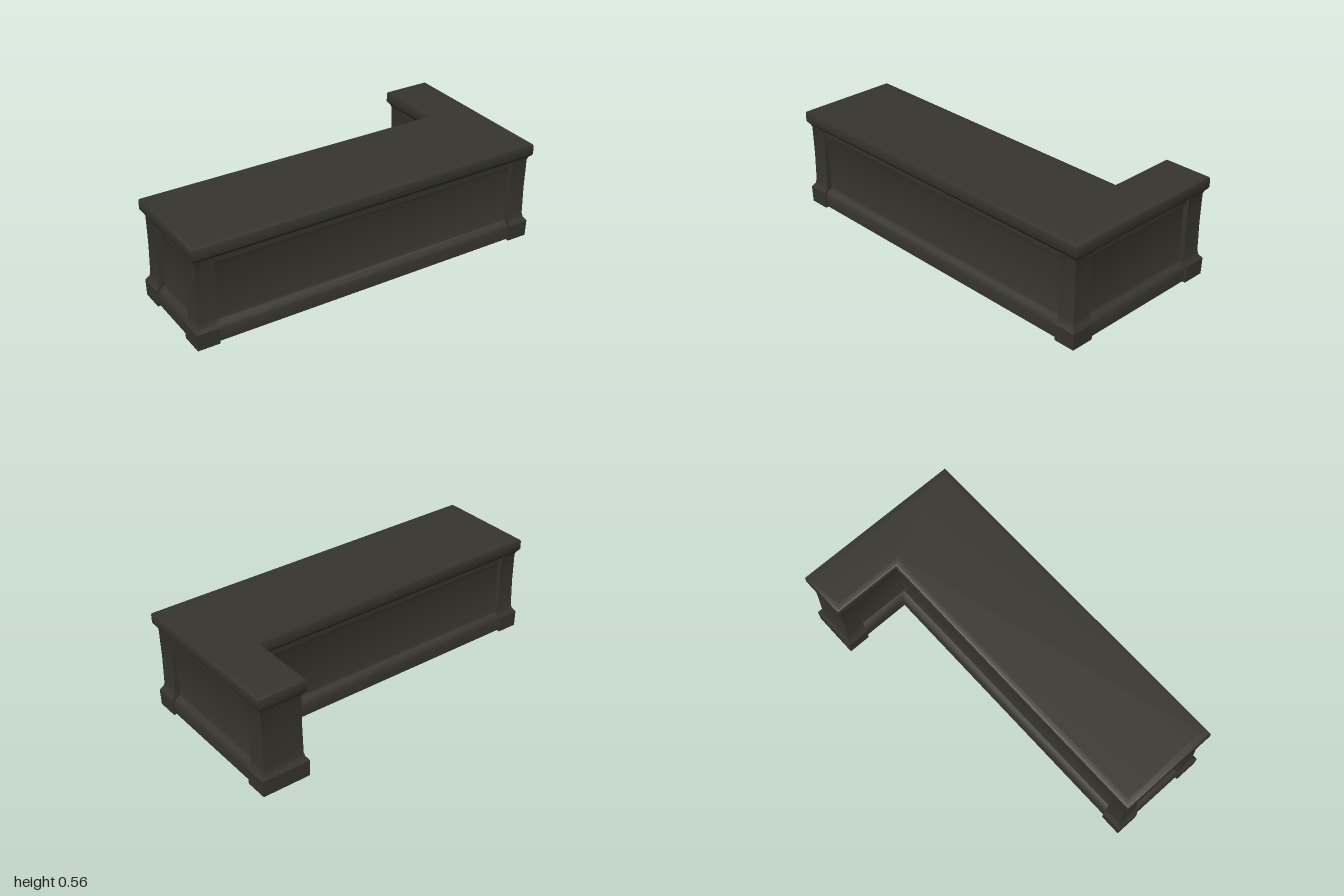
import * as THREE from 'three';
import { toCreasedNormals } from 'three/addons/utils/BufferGeometryUtils.js';

const stone = new THREE.MeshStandardMaterial({ color: 0x36352d });
stone.name = 'dark stone';

// Stack outlines: outline(d) gives [x, z] corners inset by d, profile lists [d, y] upwards
function loft(name, outline, profile) {
  const pos = [], idx = [], n = outline(0).length;
  for (const [d, y] of profile) for (const [x, z] of outline(d)) pos.push(x, y, z);
  for (let k = 0; k < profile.length - 1; k++) {
    for (let i = 0; i < n; i++) {
      const a = k * n + i, b = k * n + (i + 1) % n;
      idx.push(a, b, b + n, a, b + n, a + n);
    }
  }
  // Bottom and top caps
  const top = (profile.length - 1) * n;
  const flat = outline(0).map(([x, z]) => new THREE.Vector2(x, -z));
  for (const [a, b, c] of THREE.ShapeUtils.triangulateShape(flat, [])) {
    idx.push(c, b, a, top + a, top + b, top + c);
  }
  const geo = new THREE.BufferGeometry();
  geo.setAttribute('position', new THREE.Float32BufferAttribute(pos, 3));
  geo.setIndex(idx);
  const mesh = new THREE.Mesh(toCreasedNormals(geo, 0.6), stone);
  mesh.name = name;
  return mesh;
}

// L-shaped plan of the counter
const plan = (d) => [
  [-1 + d, 0.48 - d], [1 - d, 0.48 - d], [1 - d, -0.48 + d],
  [0.73 + d, -0.48 + d], [0.73 + d, -0.09 + d], [-1 + d, -0.09 + d],
];

// Square post at an outer corner; only its outward sides follow the inset
const cornerPost = (cx, cz, sx, sz) => (d) => {
  const xs = [cx - sx * d, cx - sx * 0.12].sort((a, b) => a - b);
  const zs = [cz - sz * d, cz - sz * 0.13].sort((a, b) => a - b);
  return [[xs[0], zs[1]], [xs[1], zs[1]], [xs[1], zs[0]], [xs[0], zs[0]]];
};

// Broad post closing the end of the short wing
const endPost = (d) => [
  [0.73 + d, -0.35], [1 - d, -0.35], [1 - d, -0.48 + d], [0.73 + d, -0.48 + d],
];

export function createModel() {
  const group = new THREE.Group();
  group.name = 'counter';

  // Skirting, recessed panels and top rail
  group.add(loft('panelledBody', plan, [
    [0.014, 0.01], [0.012, 0.075], [0.02, 0.095], [0.045, 0.112],
    [0.05, 0.125], [0.05, 0.415], [0.044, 0.432], [0.032, 0.44], [0.028, 0.5],
  ]));

  // Posts with flared feet and heads
  const postProfile = [
    [0.002, 0.004], [0, 0.095], [0.016, 0.118], [0.021, 0.14],
    [0.023, 0.3], [0.021, 0.465], [0.016, 0.48], [0.012, 0.5],
  ];
  const corners = [
    ['frontLeftPost', 1, 0.48, 1, 1], ['frontRightPost', -1, 0.48, -1, 1],
    ['backRightPost', -1, -0.09, -1, -1],
  ];
  for (const [name, ...c] of corners) group.add(loft(name, cornerPost(...c), postProfile));
  group.add(loft('wingEndPost', endPost, postProfile));

  // Countertop with a moulded underside and softened upper edge
  group.add(loft('countertop', plan, [
    [0.03, 0.468], [0.02, 0.476], [0.004, 0.494], [0, 0.503],
    [0, 0.547], [0.003, 0.556], [0.012, 0.56], [0.04, 0.561],
  ]));
  return group;
}
